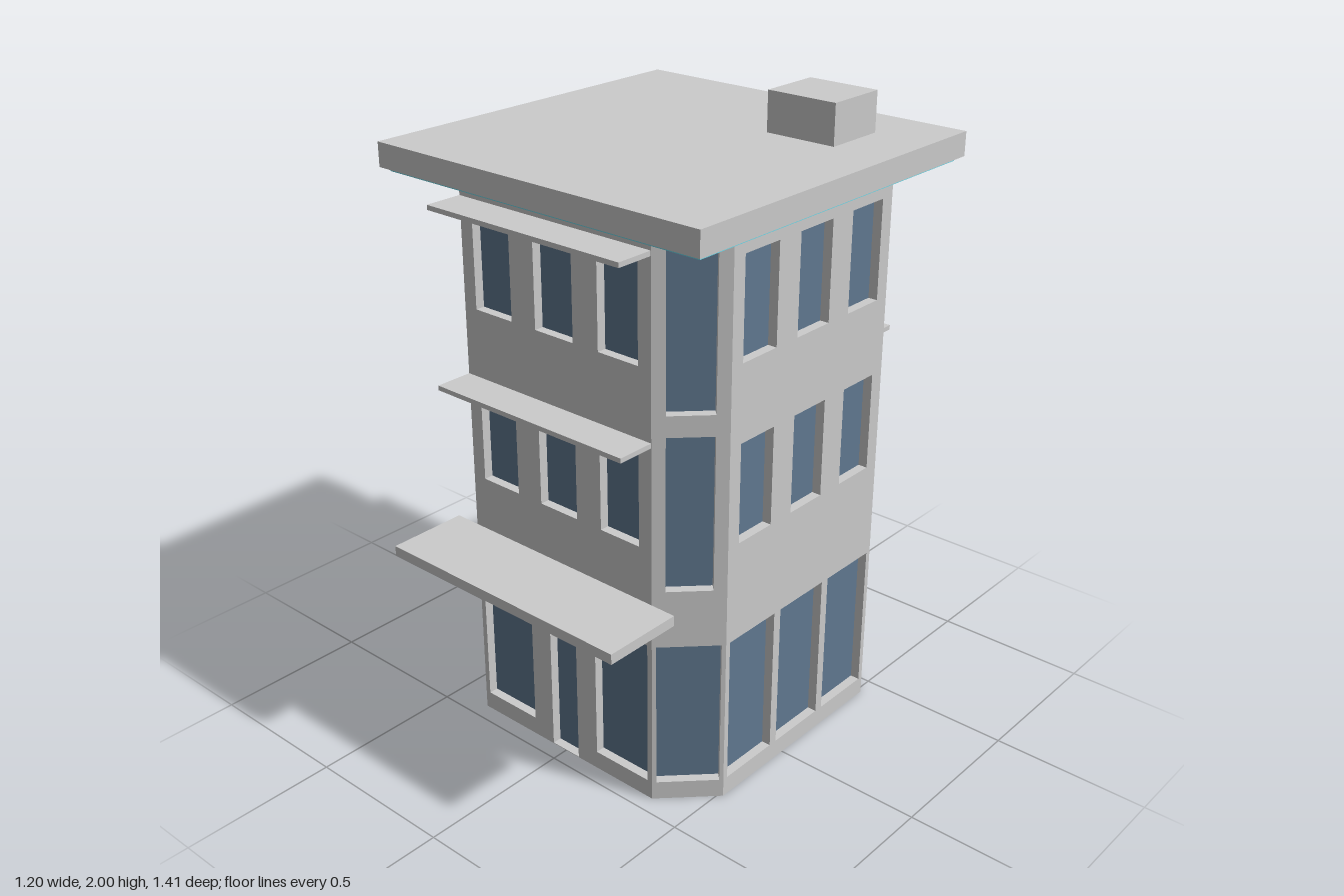
import * as THREE from 'three';

const grey = new THREE.MeshStandardMaterial({ color: 0xcccccc });
const wallMat = new THREE.MeshStandardMaterial({ color: 0xcccccc, flatShading: true, side: THREE.DoubleSide });
const glassMat = new THREE.MeshStandardMaterial({ color: 0x607890, side: THREE.DoubleSide });
const tealMat = new THREE.MeshStandardMaterial({ color: 0x70d8e8 });

const CZ = -0.07;      // centre of the tower in z
const R = 0.515;       // centre to each main wall
const HALF = 0.3625;   // half width of a main wall
const TOP = 1.79;      // wall height
const RECESS = 0.03;   // depth of the window reveals

// Open square sleeve, unit sized, running along z
const sleeve = new THREE.CylinderGeometry(Math.SQRT1_2, Math.SQRT1_2, 1, 4, 1, true)
  .rotateY(Math.PI / 4).rotateX(Math.PI / 2);

function add(parent, name, geometry, material, x = 0, y = 0, z = 0) {
  const mesh = new THREE.Mesh(geometry, material);
  mesh.name = name;
  mesh.position.set(x, y, z);
  parent.add(mesh);
  return mesh;
}

// Box given by its limits on each axis
function slab(parent, name, x0, x1, y0, y1, z0, z1, material = grey) {
  return add(parent, name, new THREE.BoxGeometry(x1 - x0, y1 - y0, z1 - z0), material,
    (x0 + x1) / 2, (y0 + y1) / 2, (z0 + z1) / 2);
}

// Opening: centre x, width, bottom, top
const row = (centres, w, y0, y1) => centres.map((x) => [x, w, y0, y1]);
const upper = [...row([-0.242, 0, 0.242], 0.147, 0.857, 1.17), ...row([-0.242, 0, 0.242], 0.147, 1.41, 1.72)];
const shop = row([-0.24, 0, 0.24], 0.21, 0.06, 0.54);
const entrance = [...row([-0.24, 0.24], 0.21, 0.06, 0.54), [0, 0.11, 0.002, 0.523]];
const corner = [[0, 0.19, 0.06, 0.54], [0, 0.137, 0.725, 1.21], [0, 0.137, 1.275, 1.762]];

// Flat wall in its own xy plane, with recessed glazing in every opening
function makeWall(name, half, openings) {
  const wall = new THREE.Group();
  wall.name = name;
  const shape = new THREE.Shape([
    new THREE.Vector2(-half, 0), new THREE.Vector2(half, 0),
    new THREE.Vector2(half, TOP), new THREE.Vector2(-half, TOP),
  ]);
  for (const [x, w, y0, y1] of openings) {
    const a = x - w / 2, b = x + w / 2, h = y1 - y0, cy = (y0 + y1) / 2;
    shape.holes.push(new THREE.Path([
      new THREE.Vector2(a, y0), new THREE.Vector2(a, y1),
      new THREE.Vector2(b, y1), new THREE.Vector2(b, y0),
    ]));
    const kind = y0 < 0.01 ? 'door' : 'window';
    add(wall, kind + 'Reveal', sleeve, wallMat, x, cy, -RECESS / 2).scale.set(w, h, RECESS);
    add(wall, kind + 'Glass', new THREE.PlaneGeometry(w, h), glassMat, x, cy, -RECESS);
  }
  add(wall, 'wallFace', new THREE.ShapeGeometry(shape), wallMat);
  return wall;
}

export function createModel() {
  const model = new THREE.Group();
  model.name = 'cornerTower';

  // Eight walls: four main ones and four chamfered corners
  const chamferHalf = (R - HALF) * Math.SQRT1_2;
  const chamferDist = (R + HALF) * Math.SQRT1_2;
  const mainNames = ['frontWall', 'leftWall', 'backWall', 'rightWall'];
  for (let i = 0; i < 8; i++) {
    const angle = (i * Math.PI) / 4;
    const main = i % 2 === 0;
    const wall = main
      ? makeWall(mainNames[i / 2], HALF, [...(i === 0 ? entrance : shop), ...upper])
      : makeWall('cornerWall', chamferHalf, corner);
    const d = main ? R : chamferDist;
    wall.position.set(Math.sin(angle) * d, 0, CZ + Math.cos(angle) * d);
    wall.rotation.y = angle;
    model.add(wall);
  }

  // Roof slab, its lit soffit and the rooftop box
  slab(model, 'roof', -0.6, 0.6, 1.8, 1.875, CZ - 0.603, CZ + 0.603);
  slab(model, 'soffit', -0.58, 0.58, 1.787, 1.8, CZ - 0.58, CZ + 0.58, tealMat);
  slab(model, 'roofBox', 0.172, 0.41, 1.875, 2, -0.483, -0.278);

  // Thin ledges on the front and back
  for (const y of [1.18, 1.73]) {
    slab(model, 'frontLedge', -0.362, 0.362, y, y + 0.015, CZ + R, 0.567);
    slab(model, 'backLedge', -0.362, 0.362, y, y + 0.015, -0.705, CZ - R);
  }

  // Entrance canopy with a light strip below its front edge
  slab(model, 'canopy', -0.447, 0.447, 0.65, 0.683, CZ + R, 0.705);
  slab(model, 'canopyLight', -0.41, 0.41, 0.643, 0.65, 0.662, 0.69, tealMat);

  return model;
}
